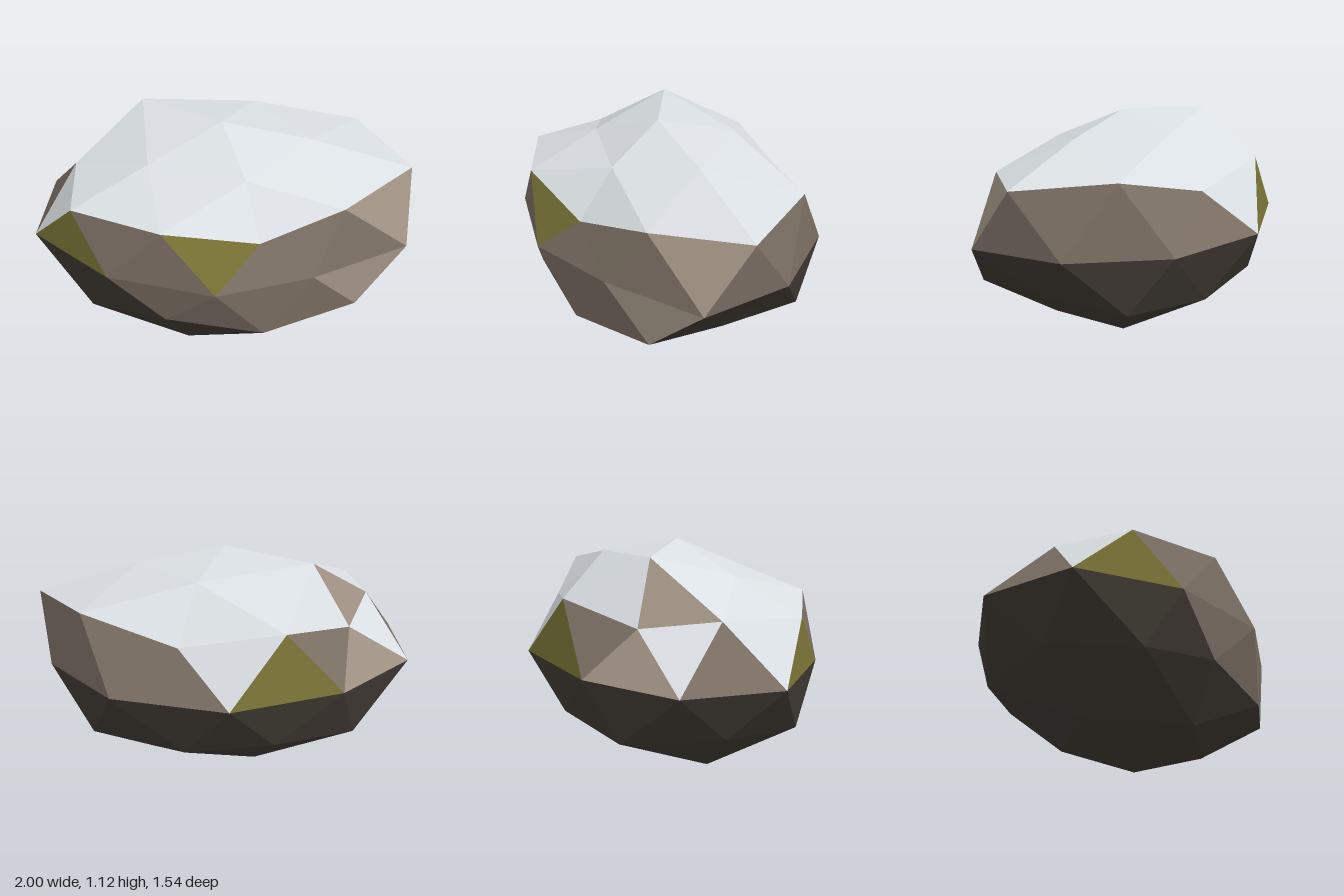
import * as THREE from 'three';

const material = (name, color) => {
  const m = new THREE.MeshStandardMaterial({ color });
  m.name = name;
  return m;
};

// Cross-section rings of the boulder, counted in 36 degree steps from +x towards +z.
const crown = [-0.01, 1.115, 0.055];
const base = [0, 0, 0.02];
const cap = [ // five points round the crown
  [0.46, 1.025, 0.055], [0.13, 0.965, 0.385], [-0.38, 0.965, 0.26],
  [-0.46, 1.095, -0.21], [0.145, 1.04, -0.325],
];
const shoulder = [
  [1, 0.87, 0.055], [0.63, 0.845, 0.43], [0.21, 0.745, 0.605], [-0.27, 0.845, 0.69],
  [-0.75, 0.82, 0.48], [-0.8, 0.835, 0.055], [-0.645, 0.785, -0.32], [-0.285, 0.875, -0.62],
  [0.245, 0.79, -0.57], [0.735, 0.91, -0.385],
];
const girth = [ // set half a step on from the other rings
  [0.98, 0.54, 0.31], [0.485, 0.54, 0.6], [0, 0.535, 0.77], [-0.56, 0.535, 0.65],
  [-1, 0.535, 0.31], [-1, 0.535, -0.21], [-0.59, 0.535, -0.585], [0, 0.535, -0.775],
  [0.59, 0.54, -0.61], [0.93, 0.54, -0.19],
];
const skirt = [
  [0.72, 0.25, 0.055], [0.72, 0.27, 0.47], [0.24, 0.21, 0.665], [-0.27, 0.275, 0.66],
  [-0.68, 0.22, 0.5], [-0.87, 0.265, 0.06], [-0.68, 0.22, -0.42], [-0.24, 0.26, -0.62],
  [0.22, 0.21, -0.59], [0.7, 0.245, -0.41],
];
const foot = [ // five points round the base
  [0.39, 0.03, 0.24], [-0.17, 0, 0.485], [-0.54, 0.005, 0.07],
  [-0.16, 0.01, -0.32], [0.4, 0.025, -0.2],
];

// Colour of each facet in the band above the girth: facets standing on it, then hanging to it.
const standing = ['stone', 'stone', 'stone', 'stone', 'moss', 'stone', 'paleStone', 'moss', 'stone', 'stone'];
const hanging = ['paleStone', 'stone', 'moss', 'stone', 'snow', 'snow', 'stone', 'snow', 'stone', 'stone'];
// Lighter facets below the girth; all others there are dark.
const lowHanging = { 1: 'paleStone', 2: 'stone', 3: 'stone' };
const lowStanding = { 1: 'stone', 2: 'stone' };

export function createModel() {
  const group = new THREE.Group();
  group.name = 'boulder';
  const facets = { snow: [], stone: [], paleStone: [], moss: [], underside: [] };

  // Adds one triangle, turned to face away from the middle.
  const middle = new THREE.Vector3(0, 0.5, 0);
  const add = (kind, ...corners) => {
    const [a, b, c] = corners.map((p) => new THREE.Vector3(...p));
    const normal = b.clone().sub(a).cross(c.clone().sub(a));
    const outward = a.clone().add(b).add(c).divideScalar(3).sub(middle);
    const order = normal.dot(outward) < 0 ? [a, c, b] : [a, b, c];
    order.forEach((v) => facets[kind].push(v.x, v.y, v.z));
  };
  const at = (ring, k) => ring[(k + ring.length) % ring.length];

  // Middle bands above and below the girth
  for (let k = 0; k < 10; k++) {
    const g0 = at(girth, k - 1), g1 = at(girth, k);
    add(standing[k], at(shoulder, k), g0, g1);
    add(hanging[k], at(shoulder, k), at(shoulder, k + 1), g1);
    add(lowHanging[k] || 'underside', at(skirt, k), g0, g1);
    add(lowStanding[k] || 'underside', at(skirt, k), at(skirt, k + 1), g1);
  }

  // Closed ends: five facets at the tip, then three per ring point down to the wide ring
  const close = (tip, ring, wide, first, kindOf) => {
    for (let i = 0; i < 5; i++) {
      const k = 2 * i + first;
      const p = at(ring, i), q = at(ring, i + 1);
      add(kindOf(), tip, p, q);
      add(kindOf(), p, q, at(wide, k + 1));
      add(kindOf(k - 1), p, at(wide, k - 1), at(wide, k));
      add(kindOf(k), p, at(wide, k), at(wide, k + 1));
    }
  };
  close(crown, cap, shoulder, 0, (k) => (k === 5 ? 'paleStone' : 'snow')); // one bare patch in the snow
  close(base, foot, skirt, 1, () => 'underside');

  // One mesh per colour, with unshared corners for flat facets
  const materials = {
    snow: material('snow', 0xdadfe3),
    stone: material('stone', 0x7c7064),
    paleStone: material('pale stone', 0x9f9283),
    moss: material('moss', 0x7a7437),
    underside: material('dark stone', 0x403a33),
  };
  for (const kind of Object.keys(facets)) {
    const geometry = new THREE.BufferGeometry();
    geometry.setAttribute('position', new THREE.Float32BufferAttribute(facets[kind], 3));
    geometry.computeVertexNormals();
    const mesh = new THREE.Mesh(geometry, materials[kind]);
    mesh.name = kind;
    group.add(mesh);
  }
  return group;
}
